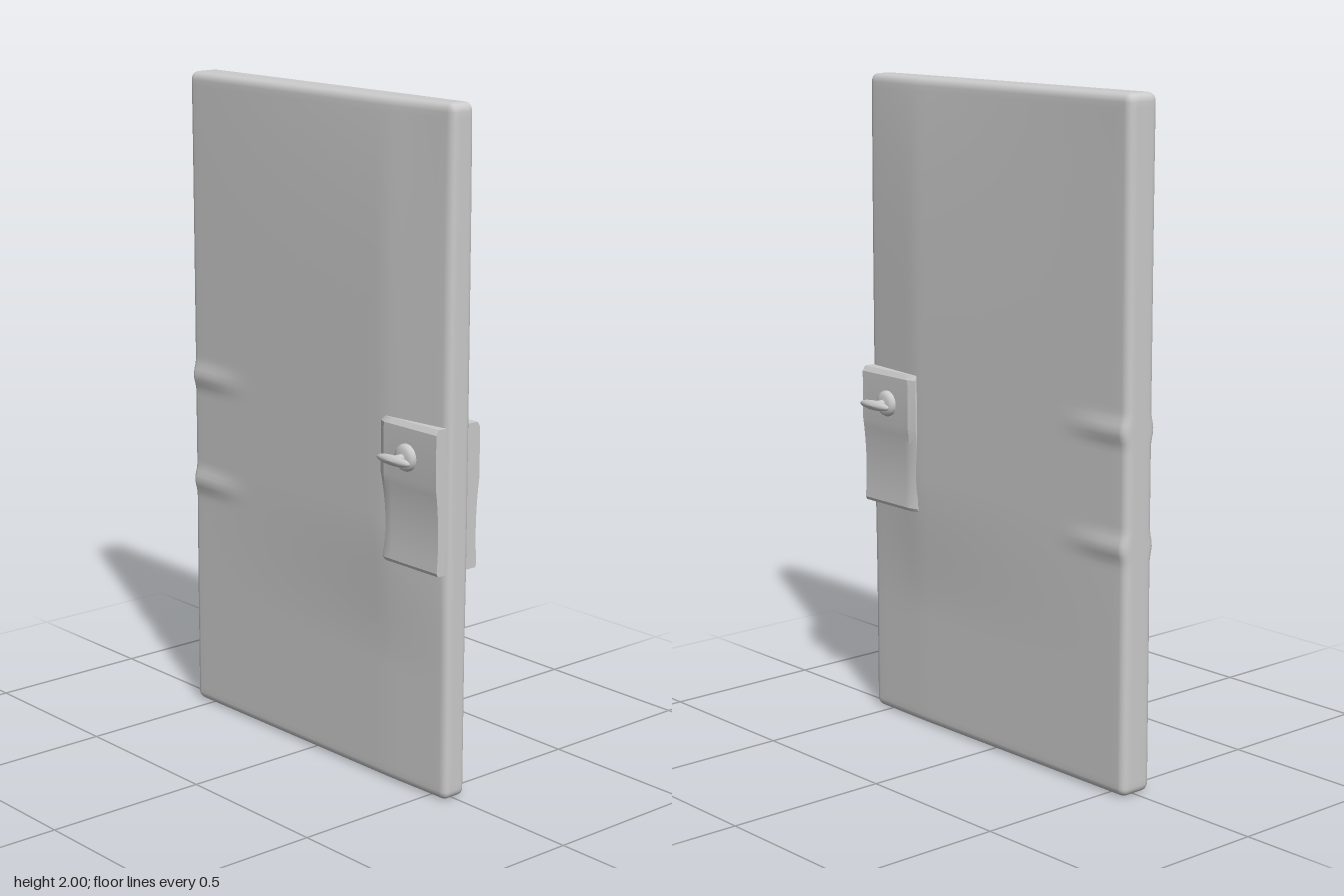
import * as THREE from 'three';
import { mergeVertices, toCreasedNormals } from 'three/addons/utils/BufferGeometryUtils.js';

const material = new THREE.MeshStandardMaterial({ color: 0xcccccc });
const { lerp, smoothstep, clamp } = THREE.MathUtils;

function part(name, geometry) {
  const mesh = new THREE.Mesh(geometry, material);
  mesh.name = name;
  return mesh;
}

// Piecewise linear curve through [position, value] points
function along(points, p) {
  for (let i = 1; i < points.length; i++) {
    const [a, va] = points[i - 1], [b, vb] = points[i];
    if (p <= b) return lerp(va, vb, clamp((p - a) / (b - a), 0, 1));
  }
  return points[points.length - 1][1];
}

const MIDDLE = [[-0.57, 0.053], [-0.3, 0.058], [0.33, 0.07], [0.57, 0.043]];
const ENDS = [[-0.57, 0.055], [0.33, 0.05], [0.57, 0.04]];

// Half thickness of the door: swollen around the lock, ribbed at the hinge side
function halfThickness(x, y) {
  const swell = y > 1 ? 1 - (y - 1) ** 4 : smoothstep(y, 0.35, 0.8);
  let t = lerp(along(ENDS, x), along(MIDDLE, x), swell);
  const fade = 1 - smoothstep(x, -0.5, -0.28);
  for (const ribY of [1.065, 0.73]) {
    const d = Math.abs(y - ribY) / 0.05;
    if (d < 1) t += 0.01 * fade * Math.cos(d * Math.PI / 2) ** 2;
  }
  return t;
}

// Rounded slab with dense edge rows, shaped by the thickness rule
function doorGeometry() {
  const half = [0.57, 1, 0.055], count = [40, 120, 10], r = 0.025, rows = 3;
  const g = new THREE.BoxGeometry(1, 1, 1, ...count);
  const pos = g.attributes.position;
  const q = new THREE.Vector3(), core = new THREE.Vector3();
  const limit = new THREE.Vector3(...half).subScalar(r);
  const spread = (p, k) => {
    const n = count[k], i = Math.round((p + 0.5) * n);
    const edge = Math.min(i, n - i);
    if (edge < rows) return Math.sign(p) * (half[k] - r * edge / rows);
    return (half[k] - r) * (2 * (i - rows) / (n - 2 * rows) - 1);
  };
  for (let i = 0; i < pos.count; i++) {
    q.set(spread(pos.getX(i), 0), spread(pos.getY(i), 1), spread(pos.getZ(i), 2));
    core.copy(q).clamp(limit.clone().negate(), limit);
    q.sub(core).setLength(r).add(core);
    pos.setXYZ(i, q.x, q.y + 1, q.z * halfThickness(q.x, q.y + 1) / half[2]);
  }
  g.deleteAttribute('uv');
  g.deleteAttribute('normal');
  const merged = mergeVertices(g, 1e-5);
  merged.computeVertexNormals();
  return merged;
}

// Lock case: side profile with a scooped grip on both faces, run across x
function lockGeometry() {
  const s = new THREE.Shape();
  s.moveTo(-0.074, 1.105);
  s.lineTo(-0.084, 1.09);
  s.lineTo(-0.084, 0.94);
  s.quadraticCurveTo(-0.066, 0.82, -0.077, 0.69);
  s.lineTo(-0.072, 0.68);
  s.lineTo(0.072, 0.68);
  s.lineTo(0.077, 0.69);
  s.quadraticCurveTo(0.066, 0.82, 0.084, 0.94);
  s.lineTo(0.084, 1.09);
  s.lineTo(0.074, 1.105);
  s.closePath();
  const g = new THREE.ExtrudeGeometry(s, { depth: 0.24, steps: 10, bevelEnabled: false, curveSegments: 10 });
  g.rotateY(Math.PI / 2).translate(0.32, 0, 0);
  // Slope the inner edge down to the door
  const pos = g.attributes.position;
  for (let i = 0; i < pos.count; i++) {
    if (pos.getX(i) < 0.33) pos.setZ(i, pos.getZ(i) * 0.87);
  }
  return toCreasedNormals(g, 0.4);
}

// Turn knob facing +z: domed collar, stem and oval grip
function turnKnob(name) {
  const group = new THREE.Group();
  group.name = name;
  const collarProfile = [[0.04, -0.01], [0.04, 0.006], [0.036, 0.014], [0.025, 0.02], [0, 0.022]]
    .map(([x, y]) => new THREE.Vector2(x, y));
  const collar = part('knobCollar', new THREE.LatheGeometry(collarProfile, 24).rotateX(Math.PI / 2));
  const stem = part('knobStem', new THREE.CylinderGeometry(0.013, 0.013, 0.05, 16).rotateX(Math.PI / 2));
  stem.position.z = 0.03;
  const gripProfile = [[0, 0], [0.045, 0.001], [0.063, 0.006], [0.067, 0.011], [0.063, 0.017], [0.04, 0.023], [0, 0.026]]
    .map(([x, y]) => new THREE.Vector2(x, y));
  const gripGeometry = new THREE.LatheGeometry(gripProfile, 32).rotateX(Math.PI / 2).scale(1, 0.22, 1);
  gripGeometry.computeVertexNormals();
  const grip = part('knobGrip', gripGeometry);
  grip.position.z = 0.04;
  group.add(collar, stem, grip);
  return group;
}

export function createModel() {
  const model = new THREE.Group();
  model.name = 'door';
  model.add(part('doorPanel', doorGeometry()));

  // Lock with a turn knob on each face
  const lock = new THREE.Group();
  lock.name = 'lock';
  lock.position.z = -0.003;
  lock.add(part('lockCase', lockGeometry()));
  for (const side of [1, -1]) {
    const knob = turnKnob(side > 0 ? 'frontKnob' : 'backKnob');
    knob.position.set(0.44, 1.005, side * 0.083);
    if (side < 0) knob.rotation.y = Math.PI;
    lock.add(knob);
  }
  model.add(lock);
  return model;
}
